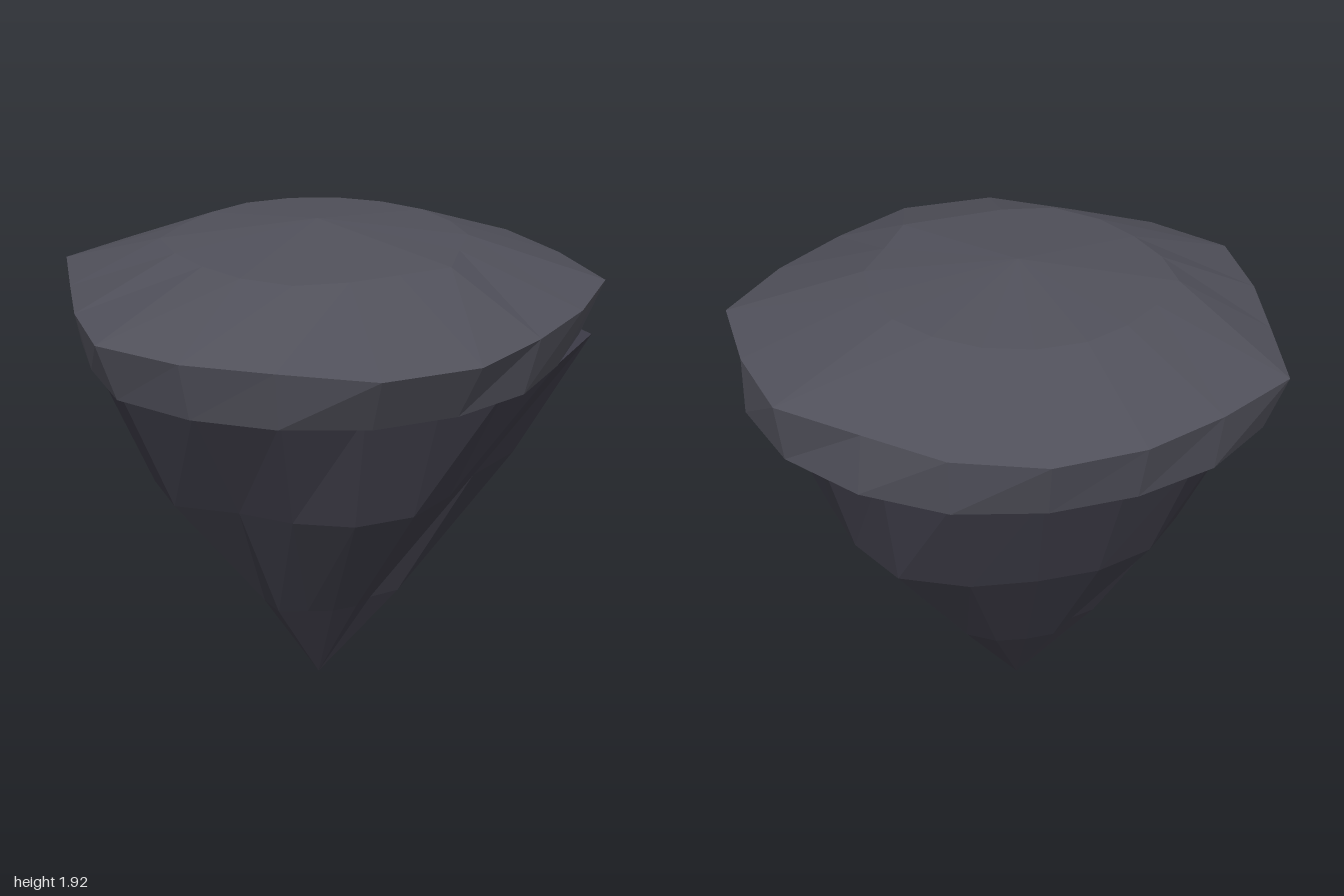
import * as THREE from 'three';

const SIDES = 18;
const CX = -0.04, CZ = -0.03; // axis of the rock

// Ring of points, 20 degrees apart starting at +x and turning towards +z.
// radii is one number per point, or a single number for a regular ring.
function ring(y, radii) {
  return Array.from({ length: SIDES }, (_, i) => {
    const a = (i / SIDES) * Math.PI * 2;
    const r = Array.isArray(radii) ? radii[i] : radii;
    return new THREE.Vector3(CX + r * Math.cos(a), y, CZ + r * Math.sin(a));
  });
}

// Faceted skin over rings listed from bottom to top
function loft(rings) {
  const pts = [];
  const tri = (a, b, c) => {
    if (a.distanceTo(b) > 1e-5 && b.distanceTo(c) > 1e-5 && c.distanceTo(a) > 1e-5) pts.push(a, b, c);
  };
  for (let k = 0; k < rings.length - 1; k++) {
    const lo = rings[k], up = rings[k + 1];
    for (let i = 0; i < SIDES; i++) {
      const j = (i + 1) % SIDES;
      tri(lo[j], lo[i], up[i]);
      tri(lo[j], up[i], up[j]);
    }
  }
  const geo = new THREE.BufferGeometry().setFromPoints(pts);
  geo.computeVertexNormals();
  return geo;
}

function part(name, color, rings) {
  const mat = new THREE.MeshStandardMaterial({ color, flatShading: true });
  const mesh = new THREE.Mesh(loft(rings), mat);
  mesh.name = name;
  return mesh;
}

export function createModel() {
  const group = new THREE.Group();
  group.name = 'floatingRock';

  // Overhanging slab with a shallow domed top
  const rimLow = [1.02, 0.99, 0.92, 0.92, 0.91, 0.91, 0.9, 0.91, 0.93,
    0.88, 0.89, 0.95, 0.93, 0.91, 0.92, 0.95, 0.97, 1.0];
  const rimHigh = [1.02, 1.08, 1.0, 0.98, 1.04, 1.04, 0.95, 0.97, 1.01,
    0.93, 0.92, 1.03, 0.96, 0.965, 0.985, 0.97, 0.94, 1.03];
  const dome = [0.54, 0.56, 0.54, 0.6, 0.54, 0.55, 0.58, 0.56, 0.54,
    0.55, 0.58, 0.53, 0.52, 0.53, 0.53, 0.53, 0.53, 0.54];
  group.add(part('topSlab', 0x50505a, [
    ring(1.46, 0), ring(1.46, rimLow), ring(1.68, rimHigh), ring(1.86, dome), ring(1.93, 0),
  ]));

  // Tapering jagged underside ending in a point; one corner reaches past the slab
  const low = [0.27, 0.29, 0.33, 0.26, 0.28, 0.28, 0.28, 0.32, 0.28,
    0.25, 0.28, 0.33, 0.28, 0.32, 0.32, 0.34, 0.35, 0.28];
  const middle = [0.73, 0.76, 0.62, 0.62, 0.66, 0.66, 0.62, 0.6, 0.7,
    0.66, 0.63, 0.65, 0.67, 0.66, 0.66, 0.71, 0.77, 0.74];
  const top = [0.92, 1.04, 0.92, 0.85, 0.81, 0.81, 0.85, 0.89, 0.91,
    0.86, 0.86, 0.87, 0.86, 0.84, 0.84, 0.89, 0.85, 0.88];
  group.add(part('rockUnderside', 0x3c3b46, [
    ring(0.01, 0), ring(0.44, low), ring(0.98, middle), ring(1.465, top), ring(1.47, 0),
  ]));

  return group;
}
